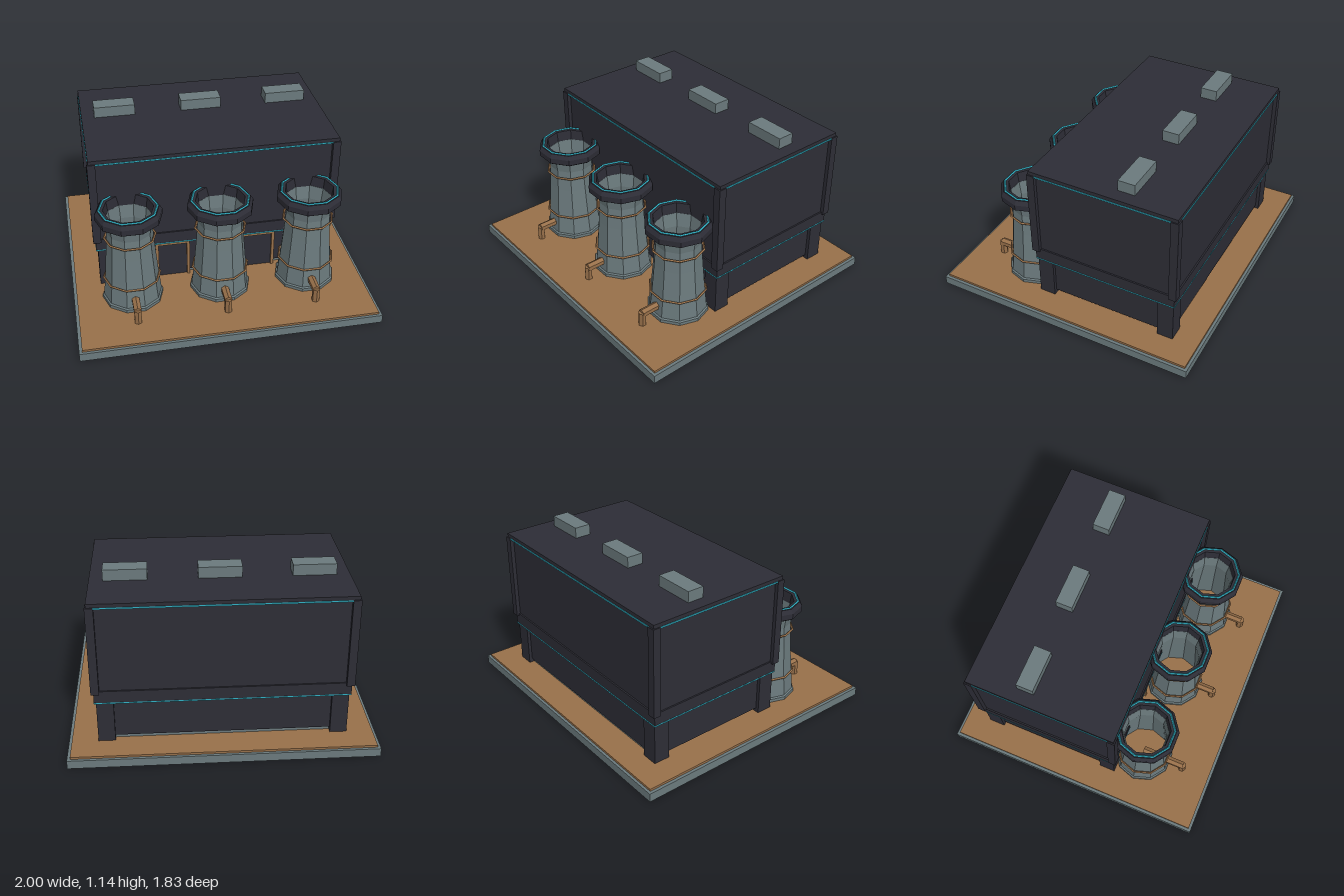
import * as THREE from 'three';

const mat = (name, color) => {
  const m = new THREE.MeshStandardMaterial({ color });
  m.name = name;
  return m;
};

export function createModel() {
  const dark = mat('dark cladding', 0x2d2d36);
  const grey = mat('grey concrete', 0x6b7a7d);
  const copper = mat('copper brown', 0x98704a);
  const cyan = mat('cyan light', 0x32b4c8);

  const model = new THREE.Group();
  model.name = 'coolingPlant';

  // Faceted mesh helper
  const add = (parent, name, geometry, material, x = 0, y = 0, z = 0) => {
    const g = geometry.index ? geometry.toNonIndexed() : geometry;
    g.computeVertexNormals();
    const mesh = new THREE.Mesh(g, material);
    mesh.name = name;
    mesh.position.set(x, y, z);
    parent.add(mesh);
    return mesh;
  };
  // Box given by its minimum and maximum on each axis
  const box = (parent, name, material, x0, x1, y0, y1, z0, z1) =>
    add(parent, name, new THREE.BoxGeometry(x1 - x0, y1 - y0, z1 - z0), material,
      (x0 + x1) / 2, (y0 + y1) / 2, (z0 + z1) / 2);
  const lathe = (pts) => new THREE.LatheGeometry(
    pts.map(([r, y]) => new THREE.Vector2(r, y)), 10, Math.PI / 2);
  const ring = (r, tube) => new THREE.TorusGeometry(r, tube, 4, 10).rotateX(Math.PI / 2);

  // Base slab and ground plate
  box(model, 'baseSlab', grey, -1, 1, 0, 0.058, -0.915, 0.915);
  box(model, 'groundPlate', copper, -0.98, 0.98, 0.058, 0.073, -0.897, 0.897);

  // Building, centred on its own z
  const hall = new THREE.Group();
  hall.name = 'hall';
  hall.position.z = -0.237;
  model.add(hall);
  box(hall, 'floorSill', grey, -0.75, 0.75, 0.07, 0.1, -0.455, 0.455);
  box(hall, 'lowerWalls', dark, -0.785, 0.785, 0.1, 0.37, -0.47, 0.47);
  box(hall, 'overhangBand', dark, -0.82, 0.82, 0.366, 0.45, -0.5, 0.5);
  box(hall, 'upperWalls', dark, -0.81, 0.81, 0.45, 1.04, -0.49, 0.49);
  box(hall, 'roof', dark, -0.828, 0.828, 1.04, 1.066, -0.508, 0.508);

  // Corner pillars below and corner posts above
  for (const sx of [-1, 1]) for (const sz of [-1, 1]) {
    add(hall, 'cornerPillar', new THREE.BoxGeometry(0.11, 0.3, 0.11), dark, sx * 0.753, 0.22, sz * 0.437);
    add(hall, 'cornerPost', new THREE.BoxGeometry(0.053, 0.606, 0.053), dark, sx * 0.809, 0.738, sz * 0.49);
  }

  // Light strips under the roof and under the overhang
  for (const s of [-1, 1]) {
    add(hall, 'upperLightStrip', new THREE.BoxGeometry(1.57, 0.01, 0.024), cyan, 0, 1.036, s * 0.5);
    add(hall, 'upperLightStrip', new THREE.BoxGeometry(0.024, 0.01, 0.93), cyan, s * 0.82, 1.036, 0);
    add(hall, 'lowerLightStrip', new THREE.BoxGeometry(1.64, 0.009, 0.009), cyan, 0, 0.363, s * 0.497);
    add(hall, 'lowerLightStrip', new THREE.BoxGeometry(0.009, 0.009, 0.99), cyan, s * 0.817, 0.363, 0);
  }

  // Roof vents
  for (const x of [-0.6, 0, 0.6])
    box(hall, 'roofVent', grey, x - 0.14, x + 0.14, 1.06, 1.14, -0.185, -0.07);

  // Doors with frames between the towers
  for (const x of [-0.3, 0.3]) {
    box(hall, 'door', dark, x - 0.1, x + 0.1, 0.073, 0.335, 0.46, 0.476);
    for (const s of [-1, 1])
      add(hall, 'doorJamb', new THREE.BoxGeometry(0.02, 0.285, 0.03), copper, x + s * 0.108, 0.215, 0.475);
    box(hall, 'doorLintel', copper, x - 0.118, x + 0.118, 0.336, 0.357, 0.46, 0.49);
  }

  // Cooling towers
  for (const x of [-0.6, 0, 0.6]) {
    const tower = new THREE.Group();
    tower.name = 'coolingTower';
    tower.position.set(x, 0, 0.4);
    model.add(tower);
    add(tower, 'towerShell', lathe([
      [0.18, 0.073], [0.205, 0.073], [0.205, 0.095], [0.195, 0.103], [0.178, 0.27],
      [0.162, 0.46], [0.152, 0.61], [0.165, 0.705],
      [0.155, 0.705], [0.142, 0.61], [0.152, 0.46], [0.18, 0.073],
    ]), grey);
    add(tower, 'towerRim', lathe([
      [0.155, 0.697], [0.205, 0.697], [0.22, 0.708], [0.22, 0.747], [0.202, 0.775],
      [0.165, 0.775], [0.155, 0.697],
    ]), dark);
    add(tower, 'rimLight', ring(0.19, 0.007), cyan, 0, 0.778, 0);
    add(tower, 'upperHoop', ring(0.168, 0.008), copper, 0, 0.562, 0);
    add(tower, 'lowerHoop', ring(0.188, 0.008), copper, 0, 0.243, 0);

    // Feed pipe with elbow drop
    add(tower, 'feedPipe', new THREE.CylinderGeometry(0.028, 0.028, 0.3, 6).rotateX(Math.PI / 2),
      copper, 0, 0.163, 0.15);
    add(tower, 'pipeDrop', new THREE.CylinderGeometry(0.026, 0.026, 0.1, 6), copper, 0, 0.12, 0.295);
  }
  return model;
}
